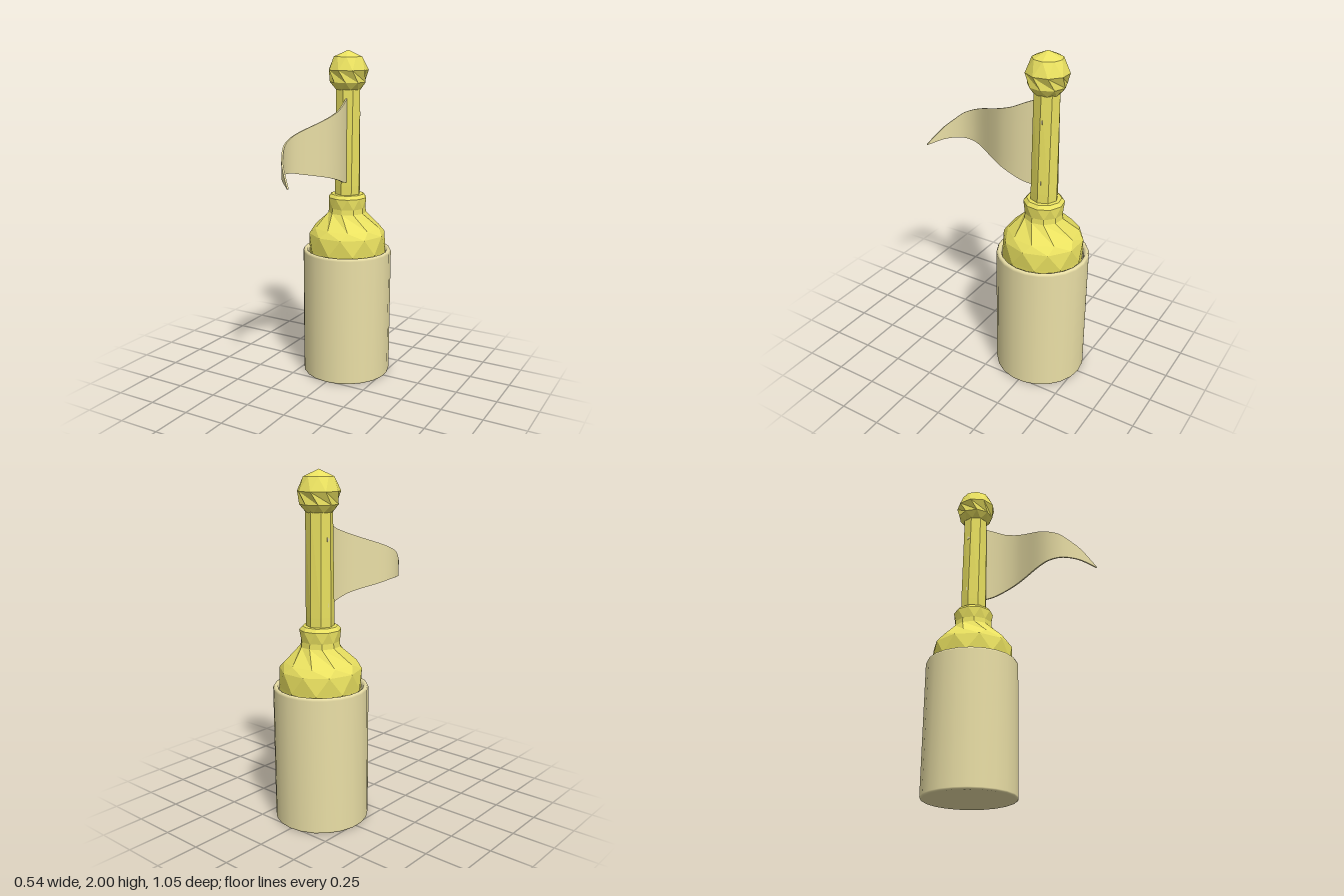
import * as THREE from 'three';

const yellow = new THREE.MeshStandardMaterial({ color: 0xeae160, flatShading: true });
const cream = new THREE.MeshStandardMaterial({ color: 0xeadfa6, side: THREE.DoubleSide });

const points = list => list.map(([x, y]) => new THREE.Vector2(x, y));

// Faceted lathe: each ring may be turned by a fraction of one side
function facetedLathe(profile, sides) {
  const geo = new THREE.LatheGeometry(points(profile), sides);
  const pos = geo.attributes.position;
  for (let i = 0; i < pos.count; i++) {
    const turn = (profile[i % profile.length][2] || 0) * 2 * Math.PI / sides;
    const x = pos.getX(i), z = pos.getZ(i);
    pos.setX(i, x * Math.cos(turn) + z * Math.sin(turn));
    pos.setZ(i, z * Math.cos(turn) - x * Math.sin(turn));
  }
  return geo;
}

export function createModel() {
  const model = new THREE.Group();
  const body = new THREE.Group();
  body.name = 'body';
  body.position.z = -0.25;
  model.add(body);

  const add = (parent, name, geo, mat) => {
    const mesh = new THREE.Mesh(geo, mat);
    mesh.name = name;
    parent.add(mesh);
    return mesh;
  };

  // Hollow cup with a rounded rim
  add(body, 'cup', new THREE.LatheGeometry(points([
    [0, 0], [0.262, 0], [0.27, 0.004], [0.272, 0.012], [0.272, 0.785], [0.266, 0.798],
    [0.256, 0.8], [0.246, 0.795], [0.24, 0.78], [0.24, 0.04], [0, 0.04],
  ]), 22), cream);

  // Faceted bottle standing in the cup
  add(body, 'bottle', facetedLathe([
    [0, 0.05], [0.225, 0.05], [0.232, 0.7], [0.238, 0.8, 0], [0.235, 0.9, 0.5],
    [0.205, 0.94, 0.8], [0.115, 1.03, 0.3], [0.112, 1.06, 0.3], [0.118, 1.125, 0.8],
    [0.1, 1.145, 0.8], [0, 1.15],
  ], 10), yellow);

  // Pole
  add(body, 'pole', facetedLathe([
    [0.078, 1.1], [0.08, 1.2], [0.076, 1.78, 0.12],
  ], 8), yellow);

  // Knob on the pole
  const r = 0.121, knob = [[0, 1.77]];
  [[0.075, 1.772], [0.108, 1.815], [r, 1.885], [0.085, 1.962], [0, 2]]
    .forEach(([x, y], i) => knob.push([x, y, i % 2 ? 0.5 : 0]));
  add(body, 'knob', facetedLathe(knob, 9), yellow);

  // Ties through the pole
  for (const y of [1.27, 1.63]) {
    const tie = add(body, 'flagTie', new THREE.CylinderGeometry(0.014, 0.014, 0.15, 3), cream);
    tie.rotation.z = Math.PI / 2;
    tie.position.set(0, y, -0.01);
  }

  // Waving pennant: sections of [x, z, bottom, top]
  const sections = [
    [0.02, -0.2, 1.22, 1.73], [0.035, -0.13, 1.235, 1.7], [0.04, -0.06, 1.26, 1.665],
    [0.028, 0.02, 1.285, 1.635], [-0.005, 0.1, 1.305, 1.605], [-0.055, 0.2, 1.327, 1.568],
    [-0.076, 0.27, 1.342, 1.54], [-0.074, 0.34, 1.348, 1.507], [-0.05, 0.4, 1.344, 1.457],
    [-0.015, 0.45, 1.335, 1.41], [0.06, 0.52, 1.308, 1.313],
  ];
  const path = new THREE.CatmullRomCurve3(sections.map(([x, z]) => new THREE.Vector3(x, 0, z)));
  const edges = new THREE.CatmullRomCurve3(sections.map(s => new THREE.Vector3(s[2], s[3], 0)));
  const flagGeo = new THREE.BoxGeometry(1, 1, 1, 30, 4, 1);
  const pos = flagGeo.attributes.position;
  for (let i = 0; i < pos.count; i++) {
    const u = pos.getX(i) + 0.5, p = path.getPoint(u), e = edges.getPoint(u);
    const t = path.getTangent(u), w = pos.getZ(i) * 0.009;
    pos.setXYZ(i, p.x - t.z * w, THREE.MathUtils.lerp(e.x, e.y, pos.getY(i) + 0.5), p.z + t.x * w);
  }
  flagGeo.computeVertexNormals();
  add(model, 'flag', flagGeo, cream);

  return model;
}
